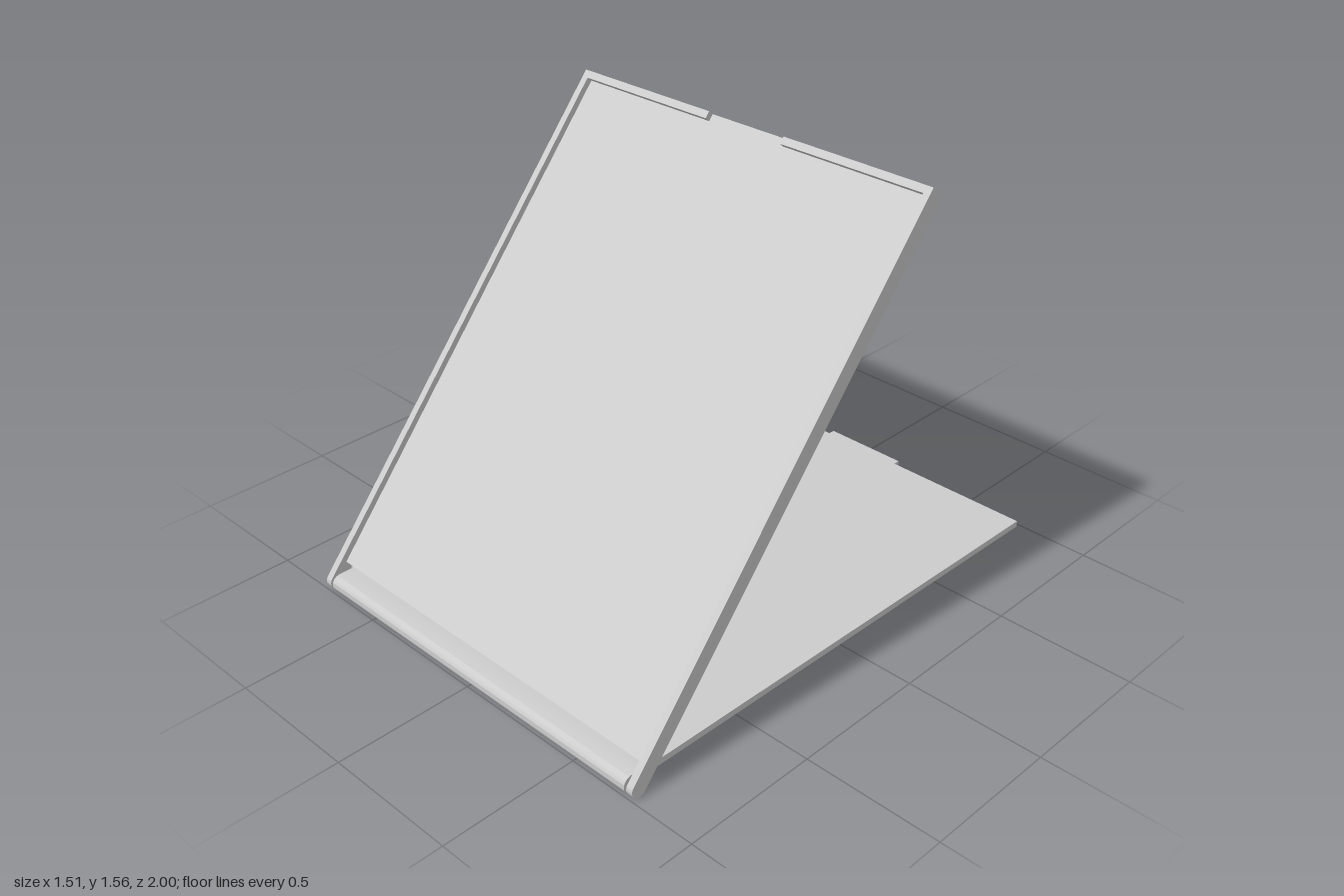
import * as THREE from 'three';
import { toCreasedNormals } from 'three/addons/utils/BufferGeometryUtils.js';

const R = 0.031;        // half thickness of the tray, also the hinge radius
const LEN = 1.97;       // hinge axis to the far edge of the tray
const HALF = 0.757;     // half width of the tray
const INNER = 0.732;    // half width of the recess
const FLOOR = 0.008;    // height of the recess floor
const RIM_END = 1.944;  // start of the far rim
const NOTCH = 0.163;    // half width of the finger notch

export function createModel() {
  const grey = new THREE.MeshStandardMaterial({ color: 0xcccccc });
  grey.name = 'light grey';

  const add = (group, name, geometry) => {
    const mesh = new THREE.Mesh(geometry, grey);
    mesh.name = name;
    group.add(mesh);
    return mesh;
  };

  const box = (group, name, x0, x1, y0, y1, z0, z1) =>
    add(group, name, new THREE.BoxGeometry(x1 - x0, y1 - y0, z1 - z0))
      .position.set((x0 + x1) / 2, (y0 + y1) / 2, (z0 + z1) / 2);

  // Sweep a (thickness, length) profile sideways from x0 to x1
  const sweep = (shape, x0, x1) => {
    const g = new THREE.ExtrudeGeometry(shape, { depth: x1 - x0, bevelEnabled: false, curveSegments: 20 });
    g.rotateY(-Math.PI / 2);
    g.translate(x1, 0, 0);
    return toCreasedNormals(g, 0.6);
  };

  // Tray: local y runs up the panel, local z is its front
  const tray = new THREE.Group();
  tray.name = 'tray';
  box(tray, 'trayFloor', -INNER, INNER, 0.07, LEN, -R, FLOOR);

  const rim = new THREE.Shape();
  rim.moveTo(R, LEN);
  rim.lineTo(R, 0);
  rim.absarc(0, 0, R, 0, Math.PI, true);
  rim.lineTo(-R, LEN);
  rim.closePath();
  add(tray, 'leftRim', sweep(rim, INNER, HALF));
  add(tray, 'rightRim', sweep(rim, -HALF, -INNER));
  box(tray, 'topRimLeft', NOTCH, INNER, RIM_END, LEN, FLOOR, R);
  box(tray, 'topRimRight', -INNER, -NOTCH, RIM_END, LEN, FLOOR, R);

  // Lid: thin plate with a tab that fills the notch, and a hinge barrel
  const lid = new THREE.Group();
  lid.name = 'lid';
  const w = 0.73, start = 0.055;
  const plate = new THREE.Shape([
    [-w, start], [w, start], [w, RIM_END], [NOTCH, RIM_END], [NOTCH, LEN],
    [-NOTCH, LEN], [-NOTCH, RIM_END], [-w, RIM_END],
  ].map(([x, y]) => new THREE.Vector2(x, y)));
  add(lid, 'lidPlate', new THREE.ExtrudeGeometry(plate, { depth: R - FLOOR, bevelEnabled: false }))
    .position.z = FLOOR;

  const barrel = new THREE.Shape();
  barrel.moveTo(R, start);
  barrel.lineTo(R, 0);
  barrel.absarc(0, 0, R, 0, Math.PI, true);
  barrel.lineTo(-R, 0.021);
  barrel.absarc(0, 0.021, R, Math.PI, Math.acos(FLOOR / R), true);
  barrel.lineTo(FLOOR, start);
  barrel.closePath();
  add(lid, 'hingeBarrel', sweep(barrel, -0.722, 0.722));

  // Hinge pins between the barrel and the side rims
  for (const side of [-1, 1]) {
    const pin = add(lid, side > 0 ? 'leftHingePin' : 'rightHingePin',
      new THREE.CylinderGeometry(0.014, 0.014, 0.03, 20));
    pin.rotation.z = Math.PI / 2;
    pin.position.x = side * 0.73;
  }

  // Both halves turn on the same axis
  tray.rotation.x = -THREE.MathUtils.degToRad(40);
  lid.rotation.x = -Math.PI / 2 - 0.016;
  const model = new THREE.Group();
  model.name = 'hingedCase';
  for (const half of [tray, lid]) {
    half.position.set(0, R, 1 - R);
    model.add(half);
  }
  return model;
}
